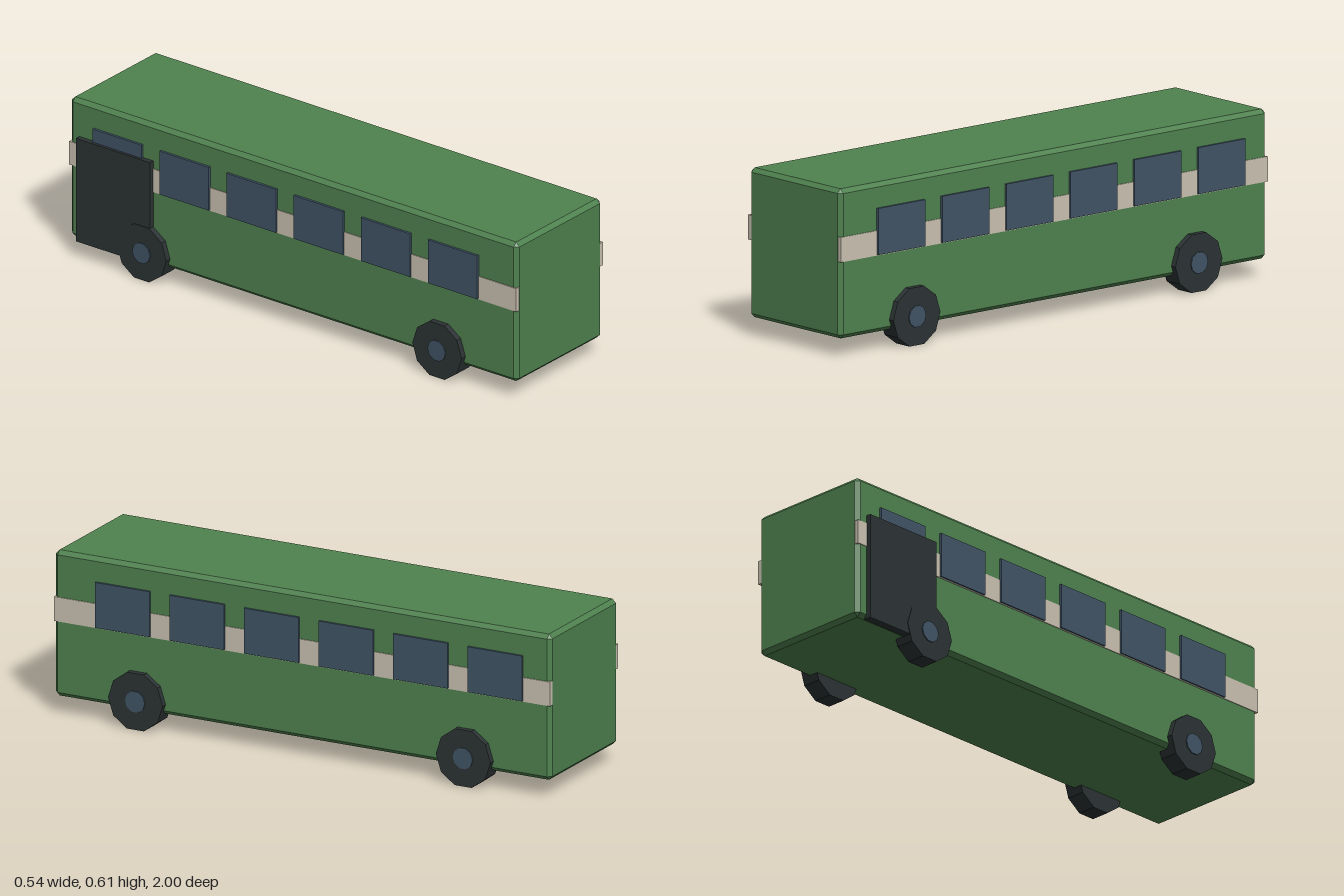
import * as THREE from 'three';
import { ConvexGeometry } from 'three/addons/geometries/ConvexGeometry.js';

function material(name, color) {
  const m = new THREE.MeshStandardMaterial({ color });
  m.name = name;
  return m;
}

// Box with a single flat chamfer on every edge, as the hull of its 24 corners
function chamferedBox(w, h, d, c) {
  const points = [];
  for (const x of [-w / 2, w / 2])
    for (const y of [-h / 2, h / 2])
      for (const z of [-d / 2, d / 2]) {
        const ix = x - Math.sign(x) * c, iy = y - Math.sign(y) * c, iz = z - Math.sign(z) * c;
        points.push(
          new THREE.Vector3(x, iy, iz),
          new THREE.Vector3(ix, y, iz),
          new THREE.Vector3(ix, iy, z)
        );
      }
  return new ConvexGeometry(points);
}

export function createModel() {
  const bus = new THREE.Group();
  bus.name = 'bus';
  const green = material('body green', 0x4f824f);
  const cream = material('stripe cream', 0xcbc2b2);
  const glass = material('window blue', 0x405466);
  const dark = material('tyre dark', 0x2c3334);

  const add = (parent, name, geometry, mat, x, y, z) => {
    const mesh = new THREE.Mesh(geometry, mat);
    mesh.name = name;
    mesh.position.set(x, y, z);
    parent.add(mesh);
    return mesh;
  };

  // Body shell and the band wrapped along its sides
  add(bus, 'body', chamferedBox(0.49, 0.54, 2, 0.015), green, 0, 0.336, 0);
  add(bus, 'stripe', new THREE.BoxGeometry(0.496, 0.09, 1.998), cream, 0, 0.39, 0);

  // Six windows on each side
  const pane = new THREE.BoxGeometry(0.009, 0.168, 0.22);
  for (const side of [-1, 1])
    for (let i = 0; i < 6; i++)
      add(bus, side > 0 ? 'leftWindow' : 'rightWindow', pane, glass, side * 0.25, 0.432, 0.72 - i * 0.3);

  // Door panel on the right side, near the back
  add(bus, 'door', new THREE.BoxGeometry(0.03, 0.4, 0.33), dark, -0.25, 0.265, -0.79);

  // Ten-sided wheels with small hubs
  const tyre = new THREE.CylinderGeometry(0.11, 0.11, 0.072, 10).toNonIndexed().rotateZ(Math.PI / 2);
  const hub = new THREE.CylinderGeometry(0.04, 0.04, 0.076, 10).toNonIndexed().rotateZ(Math.PI / 2);
  tyre.computeVertexNormals();
  hub.computeVertexNormals();
  for (const side of [-1, 1])
    for (const end of [-1, 1]) {
      const wheel = new THREE.Group();
      wheel.name = (end > 0 ? 'front' : 'back') + (side > 0 ? 'Left' : 'Right') + 'Wheel';
      wheel.position.set(side * 0.231, 0.1046, end * 0.66);
      add(wheel, 'tyre', tyre, dark, 0, 0, 0);
      add(wheel, 'hub', hub, glass, side * 0.002, 0, 0);
      bus.add(wheel);
    }

  return bus;
}
